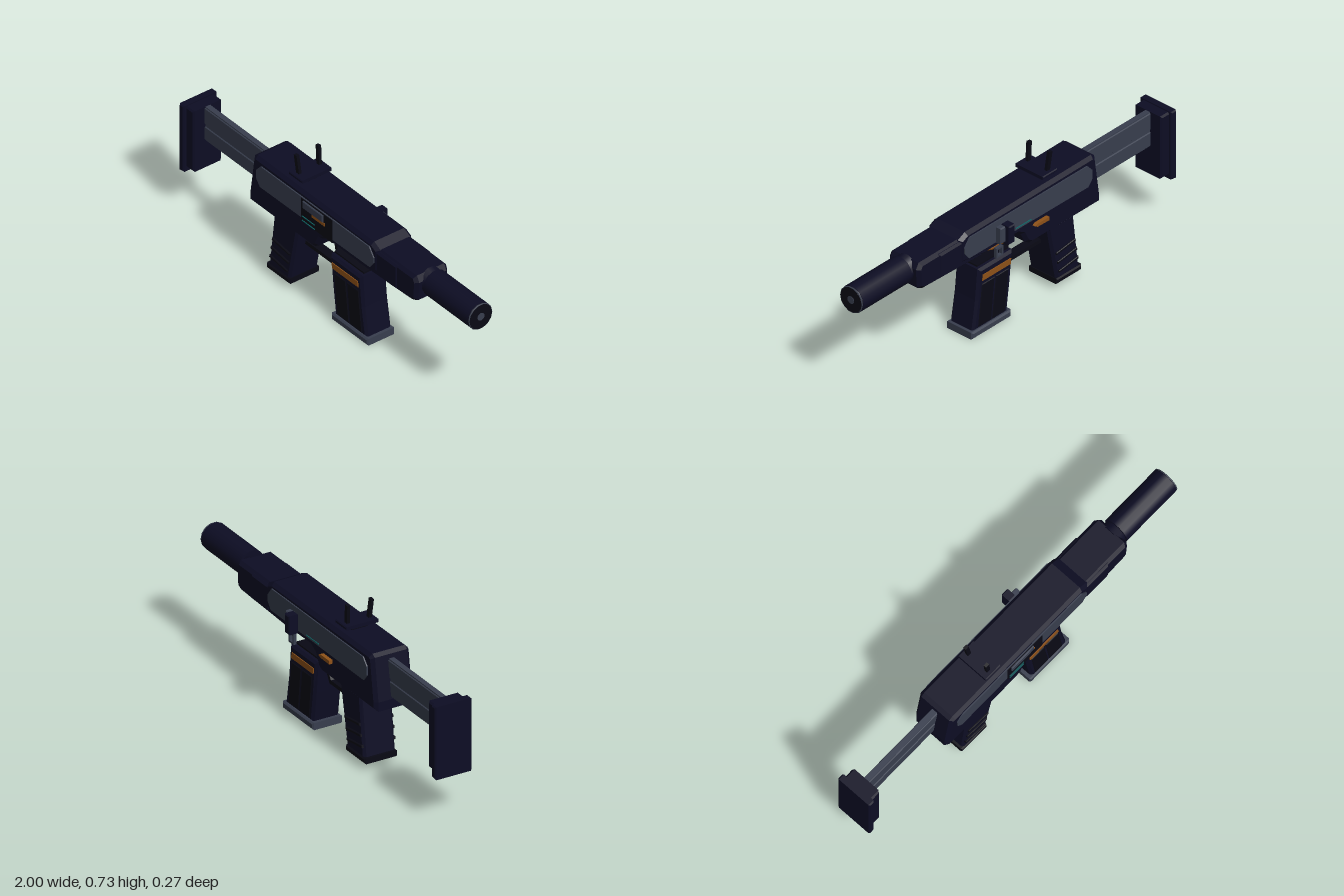
import * as THREE from 'three';

const CZ = 0.022; // centre plane of the body

export function createModel() {
  const root = new THREE.Group();
  root.name = 'model';
  const mat = (name, color) => {
    const m = new THREE.MeshStandardMaterial({ color });
    m.name = name;
    return m;
  };
  const navy = mat('navy shell', 0x0d0d24);
  const black = mat('black trim', 0x090914);
  const grey = mat('slate grey', 0x383e4e);
  const orange = mat('burnt orange', 0x8f5218);
  const teal = mat('teal accent', 0x0f6a6a);

  const add = (name, geo, material, parent = root) => {
    const m = new THREE.Mesh(geo, material);
    m.name = name;
    parent.add(m);
    return m;
  };
  // Box given by its limits on each axis
  const box = (name, material, x0, x1, y0, y1, z0, z1) => {
    const m = add(name, new THREE.BoxGeometry(x1 - x0, y1 - y0, z1 - z0), material);
    m.position.set((x0 + x1) / 2, (y0 + y1) / 2, (z0 + z1) / 2);
    return m;
  };
  // Side profile extruded between two depths, with chamfered edges
  const slab = (name, material, pts, z0, z1, bevel = 0, holes = []) => {
    const shape = new THREE.Shape(pts.map(p => new THREE.Vector2(...p)));
    holes.forEach(h => shape.holes.push(new THREE.Path(h.map(p => new THREE.Vector2(...p)))));
    const geo = new THREE.ExtrudeGeometry(shape, {
      depth: z1 - z0 - 2 * bevel, bevelEnabled: bevel > 0, bevelSize: bevel,
      bevelThickness: bevel, bevelOffset: -bevel, bevelSegments: 1,
    });
    geo.translate(0, 0, z0 + bevel);
    return add(name, geo, material);
  };
  const rect = (x0, x1, y0, y1) => [[x0, y0], [x1, y0], [x1, y1], [x0, y1]];
  const mid = (name, material, pts, half, bevel) => slab(name, material, pts, CZ - half, CZ + half, bevel);
  // Turned part along x
  const rod = (name, material, x0, x1, r0, r1, y, sides = 14) => {
    const geo = new THREE.CylinderGeometry(r1, r0, x1 - x0, sides).rotateZ(-Math.PI / 2);
    const m = add(name, geo, material);
    m.position.set((x0 + x1) / 2, y, CZ);
    return m;
  };

  // Receiver and fore-end
  mid('receiver', navy, [[-0.51, 0.335], [-0.06, 0.335], [-0.03, 0.355], [-0.005, 0.405], [0.03, 0.425],
    [0.25, 0.425], [0.40, 0.45], [0.40, 0.57], [0.355, 0.592], [-0.46, 0.597], [-0.48, 0.585], [-0.51, 0.38]], 0.098, 0.016);
  mid('foreEnd', navy, [[0.24, 0.415], [0.62, 0.428], [0.655, 0.445], [0.662, 0.54], [0.645, 0.57], [0.24, 0.572]], 0.091, 0.016);
  mid('foreEndCollar', navy, [[0.38, 0.432], [0.53, 0.435], [0.53, 0.562], [0.38, 0.562]], 0.096, 0.01);

  // Barrel end
  rod('barrelNeck', navy, 0.64, 0.69, 0.065, 0.052, 0.515);
  rod('muzzleTube', navy, 0.676, 0.99, 0.066, 0.066, 0.516);
  rod('muzzleCap', black, 0.988, 0.998, 0.066, 0.062, 0.516);
  const rim = add('muzzleRim', new THREE.TorusGeometry(0.062, 0.004, 6, 14).rotateY(Math.PI / 2), grey);
  rim.position.set(0.994, 0.516, CZ);
  rod('bore', grey, 0.99, 1, 0.019, 0.019, 0.516);

  // Side panels, one on each side
  const panel = [[-0.447, 0.49], [-0.42, 0.457], [0.35, 0.462], [0.377, 0.498], [0.377, 0.525],
    [0.345, 0.568], [-0.415, 0.568], [-0.447, 0.533]];
  slab('leftPanel', grey, panel, 0.118, 0.126);
  slab('rightPanel', grey, panel, -0.082, -0.074);

  // Ejection port on the front face
  box('ejectionPort', black, -0.13, 0.09, 0.445, 0.565, 0.12, 0.128);
  slab('boltCover', grey, rect(-0.11, 0.03, 0.522, 0.56), 0.126, 0.136, 0.003);
  box('boltMark', orange, -0.05, 0.04, 0.505, 0.52, 0.126, 0.131);
  for (const [i, y] of [0.45, 0.473].entries())
    box('statusLight' + i, teal, -0.12, -0.03, y - 0.002, y + 0.002, 0.127, 0.131);
  box('rearStatusLight', teal, -0.05, 0.05, 0.469, 0.473, -0.085, -0.081);

  // Charging handle, selector and catch on the far side
  slab('chargingKnob', navy, rect(0.112, 0.15, 0.455, 0.548), -0.135, -0.086, 0.005);
  slab('chargingStem', grey, rect(0.14, 0.18, 0.462, 0.543), -0.112, -0.08, 0.005);
  slab('selector', orange, [[-0.155, 0.42], [-0.08, 0.422], [-0.065, 0.43], [-0.08, 0.438], [-0.155, 0.438]], -0.094, -0.074);
  slab('catchLoop', grey, rect(0.142, 0.185, 0.385, 0.435), -0.093, -0.077, 0,
    [rect(0.151, 0.176, 0.394, 0.426).reverse()]);

  // Stock with rails, and shoulder pad
  mid('stockPlate', grey, rect(-0.94, -0.46, 0.388, 0.565), 0.013, 0);
  for (const [i, [y0, y1]] of [[0.39, 0.462], [0.473, 0.56]].entries())
    mid('stockRail' + i, grey, rect(-0.94, -0.46, y0, y1), 0.017, 0.004);
  mid('shoulderBlock', navy, rect(-0.975, -0.917, 0.243, 0.566), 0.079, 0.008);
  mid('shoulderPad', navy, [[-1, 0.217], [-0.968, 0.222], [-0.968, 0.572], [-1, 0.572]], 0.094, 0.006);

  // Pistol grip with slanted ridges
  mid('grip', navy, [[-0.39, 0.05], [-0.243, 0.05], [-0.185, 0.345], [-0.355, 0.345]], 0.081, 0.012);
  mid('gripBase', black, rect(-0.4, -0.238, 0.03, 0.058), 0.084, 0.006);
  for (let i = 0; i < 3; i++) {
    const y = 0.085 + i * 0.05, x = -0.378 + i * 0.009;
    mid('gripRidge' + i, black, [[x, y + 0.016], [x + 0.125, y], [x + 0.129, y + 0.013], [x + 0.003, y + 0.03]], 0.088, 0.003);
  }

  // Trigger guard and trigger
  mid('triggerGuard', black, [[-0.21, 0.238], [-0.005, 0.238], [0.03, 0.30], [0.012, 0.388], [-0.02, 0.388],
    [-0.02, 0.37], [-0.003, 0.37], [0.01, 0.302], [-0.016, 0.257], [-0.21, 0.257]], 0.022, 0);
  mid('trigger', orange, [[-0.128, 0.345], [-0.106, 0.345], [-0.122, 0.305], [-0.138, 0.285], [-0.148, 0.29]], 0.012, 0);

  // Magazine with ribs, stripe, floor plate and top cartridge
  const magazine = [[0.062, 0.03], [0.286, 0.03], [0.262, 0.18], [0.247, 0.335], [0.027, 0.335], [0.042, 0.18]];
  mid('magazine', navy, magazine, 0.07, 0.012);
  for (const [i, x] of [0.06, 0.15].entries())
    mid('magazineRib' + i, black, [[x + 0.022, 0.045], [x + 0.105, 0.045], [x + 0.08, 0.255], [x, 0.255]], 0.073, 0.003);
  mid('magazineStripe', orange, [[0.048, 0.273], [0.23, 0.273], [0.226, 0.302], [0.045, 0.302]], 0.074, 0);
  mid('magazineLips', black, rect(0.03, 0.235, 0.325, 0.343), 0.045, 0);
  mid('magazineFloor', grey, rect(0.045, 0.3, 0, 0.035), 0.077, 0.007);
  rod('cartridgeCase', orange, 0.03, 0.098, 0.017, 0.017, 0.355, 10);
  rod('cartridgeTip', orange, 0.098, 0.128, 0.017, 0.006, 0.355, 10);

  // Sight with two leaning posts
  mid('sightNeck', black, rect(-0.22, -0.17, 0.59, 0.617), 0.04, 0);
  mid('sightBase', navy, rect(-0.245, -0.15, 0.614, 0.631), 0.083, 0.004);
  for (const s of [-1, 1]) {
    const post = add(s > 0 ? 'leftSightPost' : 'rightSightPost', new THREE.BoxGeometry(0.02, 0.1, 0.015), black);
    post.position.set(-0.212, 0.674, CZ + s * 0.058);
    post.rotation.set(s * 0.05, 0, 0.12);
  }
  return root;
}
